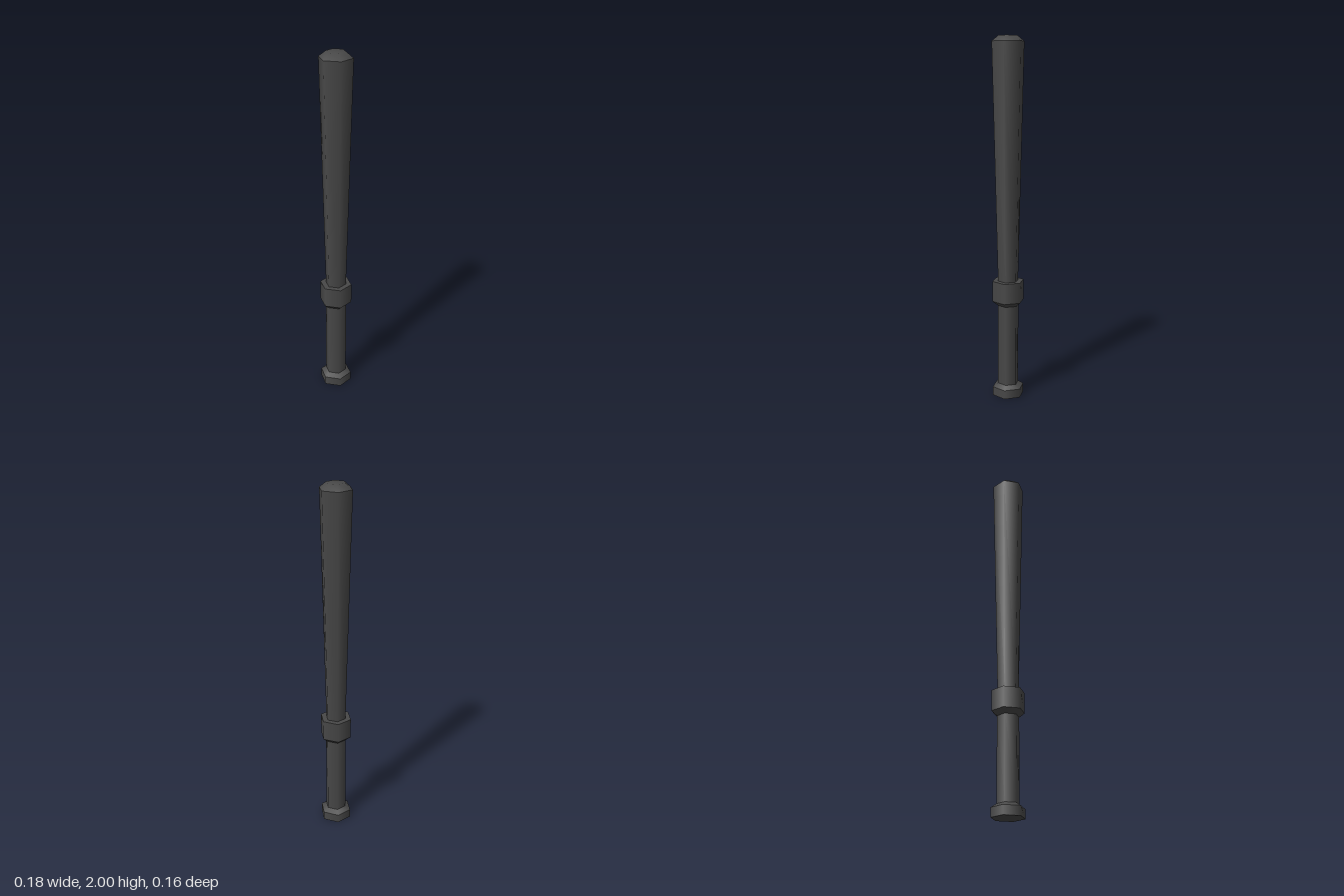
import * as THREE from 'three';

const SIDES = 6;
const material = new THREE.MeshStandardMaterial({ color: 0x484848 });

// Hexagonal turned band, smooth within itself, corners on the x axis.
// Profile is [radius, height] pairs from bottom to top.
function band(name, profile) {
  const points = profile.map(([r, y]) => new THREE.Vector2(r, y));
  const mesh = new THREE.Mesh(new THREE.LatheGeometry(points, SIDES, Math.PI / 2), material);
  mesh.name = name;
  return mesh;
}

// Several bands joined with sharp edges between them.
function turnedPart(name, profile) {
  const part = new THREE.Group();
  part.name = name;
  for (let i = 0; i < profile.length - 1; i++) {
    part.add(band(`${name}Band${i + 1}`, [profile[i], profile[i + 1]]));
  }
  return part;
}

export function createModel() {
  const bat = new THREE.Group();
  bat.name = 'baton';

  // Pommel with chamfered shoulder
  bat.add(turnedPart('pommel', [[0, 0], [0.09, 0], [0.09, 0.05], [0.06, 0.07]]));

  // Straight grip
  bat.add(band('grip', [[0.06, 0.07], [0.06, 0.53]]));

  // Collar, chamfered below and flat on top
  bat.add(turnedPart('collar', [[0.06, 0.53], [0.09, 0.555], [0.09, 0.67], [0.058, 0.67]]));

  // Tapered barrel
  bat.add(band('barrel', [[0.058, 0.67], [0.09, 1.97]]));

  // Softly shaded cap
  bat.add(band('cap', [[0.09, 1.97], [0.052, 2], [0, 2]]));

  return bat;
}
